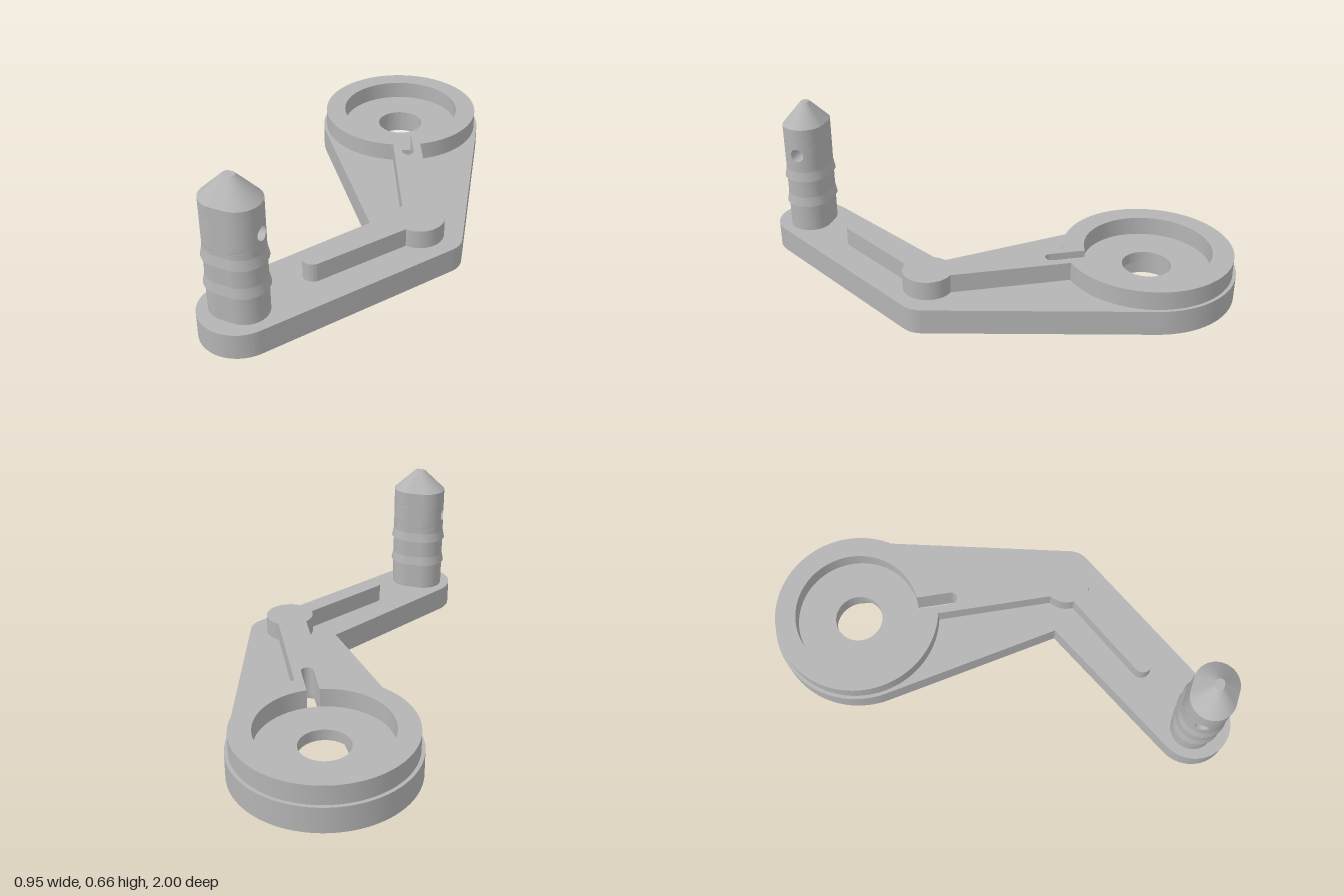
import * as THREE from 'three';
import { toCreasedNormals } from 'three/addons/utils/BufferGeometryUtils.js';

const PI = Math.PI;
const grey = new THREE.MeshStandardMaterial({ color: 0xb4b4b4, side: THREE.DoubleSide });
grey.name = 'grey metal';

// Plan coordinates are (x, -z).
const hub = { x: -0.115, y: 0.64 }, elbow = { x: 0.375, y: -0.16 };
const tip = { x: -0.113, y: -0.845 }, innerCorner = { x: 0.095, y: -0.18 };
const boss = { x: 0.3, y: -0.165 }, ribEnd = { x: 0.043, y: -0.575 };

const heading = (a, b) => Math.atan2(b.y - a.y, b.x - a.x);
const along = (a, angle, d) => ({ x: a.x + d * Math.cos(angle), y: a.y + d * Math.sin(angle) });
const arc = (path, c, r, from, to, clockwise = false) => path.absarc(c.x, c.y, r, from, to, clockwise);

// Angle at which the outer tangent of two circles touches them
function tangent(a, ra, b, rb, side) {
  const d = Math.hypot(b.x - a.x, b.y - a.y);
  return heading(a, b) + side * Math.acos((ra - rb) / d);
}

function slab(name, shape, y0, y1) {
  const geo = new THREE.ExtrudeGeometry(shape, { depth: y1 - y0, bevelEnabled: false, curveSegments: 40 });
  geo.rotateX(-PI / 2).translate(0, y0, 0);
  const mesh = new THREE.Mesh(toCreasedNormals(geo, 0.4), grey);
  mesh.name = name;
  return mesh;
}

// Bent lever outline
function leverShape() {
  const s = new THREE.Shape();
  const right = tangent(hub, 0.36, elbow, 0.1, 1);
  const lower = tangent(tip, 0.155, elbow, 0.1, -1);
  arc(s, hub, 0.36, right, tangent(hub, 0.36, innerCorner, 0, -1));
  s.lineTo(innerCorner.x, innerCorner.y);
  arc(s, tip, 0.155, tangent(tip, 0.155, innerCorner, 0, 1), lower);
  arc(s, elbow, 0.1, lower, right);
  s.closePath();
  return s;
}

const a1 = heading(hub, boss), a2 = heading(boss, ribEnd);
const slotR = 0.025, dishR = 0.26, slotEnd = along(hub, a1, 0.405);
const slotHalf = Math.asin(slotR / dishR);

function buildLever(group) {
  // Lower layer with the tapered pocket underneath
  const lower = leverShape(), pocket = new THREE.Path();
  const pocketEnd = along(hub, a1, 0.425);
  const g = Math.acos((0.11 - 0.072) / 0.425);
  arc(pocket, hub, 0.11, a1 + g, a1 - g);
  arc(pocket, pocketEnd, 0.072, a1 - g, a1 + g);
  pocket.closePath();
  lower.holes.push(pocket);
  group.add(slab('leverLower', lower, 0, 0.058));

  // Upper layer with the shaft hole and the narrow slot
  const upper = leverShape(), shaft = new THREE.Path(), slot = new THREE.Path();
  arc(shaft, hub, 0.1, 0, 2 * PI);
  arc(slot, hub, dishR, a1 + slotHalf, a1 - slotHalf, true);
  arc(slot, slotEnd, slotR, a1 - PI / 2, a1 + PI / 2);
  slot.closePath();
  upper.holes.push(shaft, slot);
  group.add(slab('leverUpper', upper, 0.058, 0.104));
}

// Raised ring, rib, elbow boss and lower rib in one outline
function buildRaisedRib(group) {
  const s = new THREE.Shape(), dish = new THREE.Path();
  const ring = Math.asin(0.06 / 0.346), wide = Math.asin(0.6), narrow = Math.asin(0.4);
  arc(s, hub, 0.346, a1 + ring, a1 - ring);
  arc(s, boss, 0.1, a1 + PI + wide, a2 - narrow);
  arc(s, ribEnd, 0.04, a2 - PI / 2, a2 + PI / 2);
  arc(s, boss, 0.1, a2 + narrow, a1 + PI - wide);
  s.closePath();
  arc(dish, hub, dishR, a1 + slotHalf, a1 - slotHalf);
  arc(dish, slotEnd, slotR, a1 - PI / 2, a1 + PI / 2);
  dish.closePath();
  s.holes.push(dish);
  group.add(slab('ringAndRib', s, 0.104, 0.182));
}

// Barbed peg with a rounded-oblong section and a cross hole
function buildPeg() {
  const peg = new THREE.Group();
  peg.name = 'peg';
  const R = 0.088, off = 0.028, y0 = 0.4, y1 = 0.514, holeR = 0.028;
  const add = (name, geo) => {
    geo.computeVertexNormals();
    const m = new THREE.Mesh(geo, grey);
    m.name = name;
    peg.add(m);
  };

  // Bands between sections: height, end radius, half length of the flat
  const n = 48;
  const loft = (name, rows) => {
    for (let k = 0; k < rows.length - 1; k++) {
      const pair = [rows[k], rows[k + 1]];
      const geo = new THREE.LatheGeometry(pair.map(([y, r]) => new THREE.Vector2(r, y)), n, PI / n);
      const p = geo.attributes.position;
      for (let i = 0; i < p.count; i++) {
        const side = Math.sin(PI / n + Math.floor(i / 2) * 2 * PI / n) > 0 ? 1 : -1;
        p.setX(i, p.getX(i) + side * pair[i % 2][2]);
      }
      add(name, geo);
    }
  };
  loft('pegShank', [[0.104, R, off], [0.222, R, off], [0.222, 0.096, off], [0.262, R, off],
    [0.34, R, off], [0.34, 0.096, off], [0.38, R, off], [y0, R, off]]);
  loft('pegHead', [[y1, R, off], [0.574, R, off], [0.662, 0.017, 0.006], [0.662, 0, 0]]);

  const mid = (y0 + y1) / 2;
  for (const side of [1, -1]) {
    // Rounded end, meshed from the hole's rim out to its border
    const geo = new THREE.PlaneGeometry(1, 1, 64, 8);
    const p = geo.attributes.position;
    for (let i = 0; i < p.count; i++) {
      const t = (p.getX(i) + 0.5) * 2 * PI, f = p.getY(i) + 0.5;
      const c = Math.cos(t), s = Math.sin(t), q = 1 / Math.max(Math.abs(c), Math.abs(s));
      const phi = THREE.MathUtils.lerp(Math.asin(holeR * c / R), c * q * PI / 2, f);
      const y = THREE.MathUtils.lerp(holeR * s, s * q * (y1 - y0) / 2, f);
      p.setXYZ(i, side * (off + R * Math.cos(phi)), mid + y, side * R * Math.sin(phi));
    }
    add('pegHoleEnd', geo);

    // Flat face between the rounded ends
    const flat = new THREE.PlaneGeometry(2 * off, y1 - y0);
    if (side < 0) flat.rotateY(PI);
    add('pegFlat', flat.translate(0, mid, side * R));
  }

  // Lining of the cross hole, trimmed to the rounded ends
  const lining = new THREE.CylinderGeometry(holeR, holeR, 1, 64, 1, true).rotateZ(PI / 2);
  const p = lining.attributes.position;
  for (let i = 0; i < p.count; i++) {
    p.setX(i, Math.sign(p.getX(i)) * (off + Math.sqrt(R * R - p.getZ(i) ** 2)));
  }
  add('pegHoleLining', lining.translate(0, mid, 0));

  peg.position.set(tip.x, 0, -tip.y);
  return peg;
}

export function createModel() {
  const model = new THREE.Group();
  model.name = 'leverArm';
  buildLever(model);
  buildRaisedRib(model);
  model.add(buildPeg());
  return model;
}
